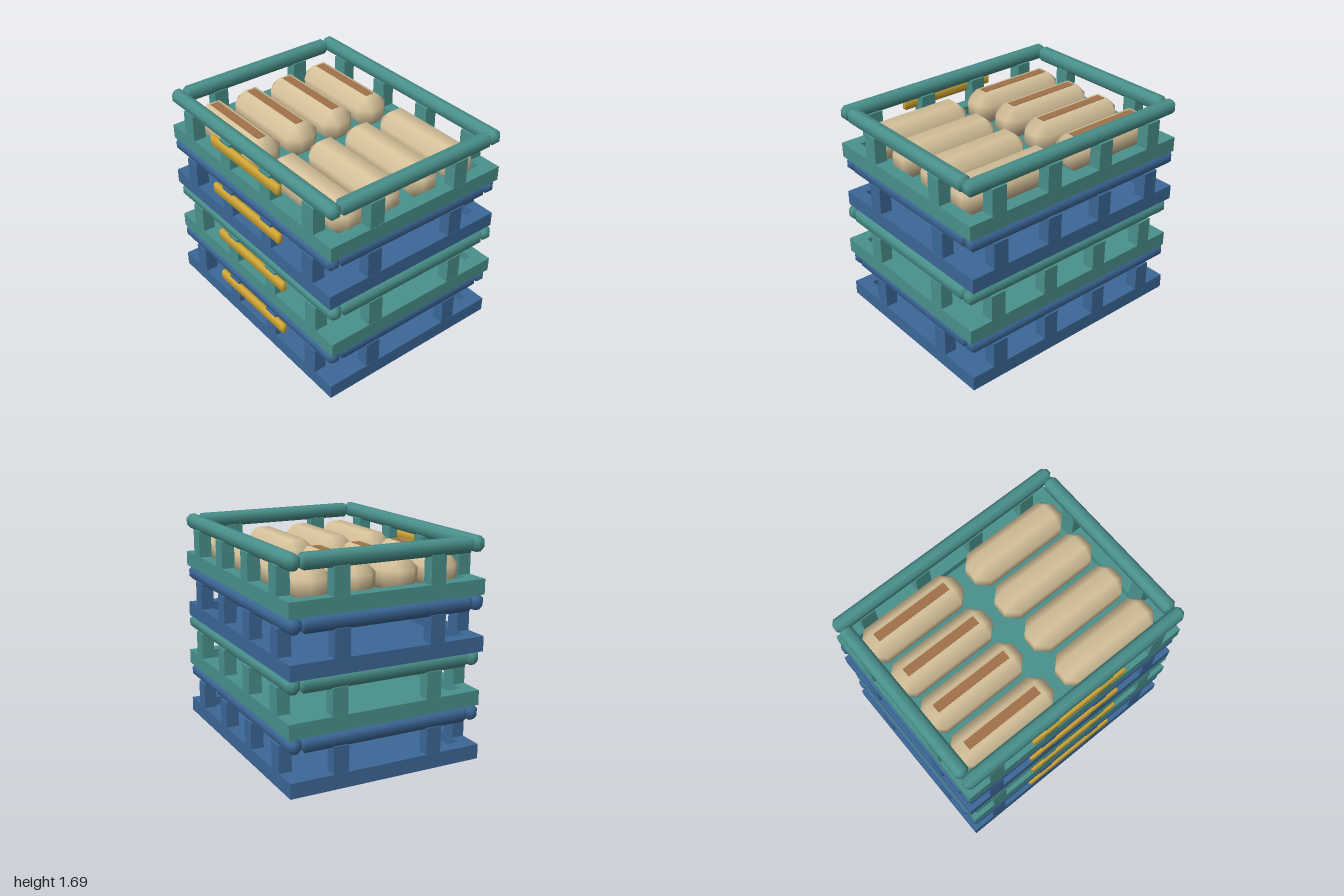
import * as THREE from 'three';
import { ConvexGeometry } from 'three/addons/geometries/ConvexGeometry.js';

const W = 1.97, D = 1.55, WALL = 0.1, BASE = 0.115, PITCH = 0.4225, RIM = 0.1125;

const flat = (name, color) => {
  const m = new THREE.MeshStandardMaterial({ color });
  m.name = name;
  return m;
};

// Box with chamfered edges and soft normals that lean towards the chamfers
function chamferBox(w, h, d, c) {
  const half = [w / 2, h / 2, d / 2];
  const long = half.indexOf(Math.max(...half));
  const points = [];
  for (const sx of [-1, 1]) for (const sy of [-1, 1]) for (const sz of [-1, 1])
    for (let axis = 0; axis < 3; axis++) {
      const p = [sx, sy, sz].map((s, i) => s * (half[i] - (i === axis ? 0 : c)));
      points.push(new THREE.Vector3(...p));
    }
  const geo = new ConvexGeometry(points);
  const pos = geo.attributes.position, nor = geo.attributes.normal;
  for (let i = 0; i < pos.count; i++) {
    const p = [pos.getX(i), pos.getY(i), pos.getZ(i)];
    const onFace = p.map((v, k) => Math.abs(Math.abs(v) - half[k]) < 1e-4);
    const n = p.map((v, k) => Math.sign(v) * (onFace[k] ? 1 : k === long ? 0.05 : 0.41));
    const v = new THREE.Vector3(...n).normalize();
    nor.setXYZ(i, v.x, v.y, v.z);
  }
  return geo;
}

function add(parent, name, geo, mat, x, y, z) {
  const mesh = new THREE.Mesh(geo, mat);
  mesh.name = name;
  mesh.position.set(x, y, z);
  parent.add(mesh);
  return mesh;
}

// Rectangular frame of the crate's base
function baseFrameGeometry() {
  const rect = (path, w, d) => path.moveTo(-w / 2, -d / 2).lineTo(w / 2, -d / 2)
    .lineTo(w / 2, d / 2).lineTo(-w / 2, d / 2).closePath();
  const shape = rect(new THREE.Shape(), W, D);
  shape.holes.push(rect(new THREE.Path(), W - 2 * WALL, D - 2 * WALL));
  return new THREE.ExtrudeGeometry(shape, { depth: BASE, bevelEnabled: false }).rotateX(-Math.PI / 2);
}

export function createModel() {
  const blue = flat('blue plastic', 0x3c6898);
  const teal = flat('teal plastic', 0x4a918c);
  const gold = flat('yellow handle', 0xd0a636);
  const crust = flat('bread', 0xd6c29a);
  const brown = flat('brown score', 0xa0724a);

  const frame = baseFrameGeometry();
  const floor = new THREE.BoxGeometry(W - 2 * WALL, 0.035, D - 2 * WALL);
  const postH = PITCH - RIM - BASE + 0.01;
  const frontPost = new THREE.BoxGeometry(0.123, postH, WALL);
  const sidePost = new THREE.BoxGeometry(WALL - 0.005, postH, 0.12);
  const longRim = chamferBox(W, RIM, WALL, 0.03);
  const shortRim = chamferBox(WALL, RIM, D - 2 * WALL, 0.025);
  const handle = chamferBox(0.84, 0.085, 0.045, 0.012);
  const loaf = chamferBox(0.84, 0.26, 0.28, 0.083);
  const score = new THREE.BoxGeometry(0.63, 0.008, 0.07);

  function crate(mat) {
    const g = new THREE.Group();
    add(g, 'baseFrame', frame, mat, 0, 0, 0);
    add(g, 'floor', floor, mat, 0, 0.0275, 0);
    const postY = BASE + postH / 2;
    const rimY = PITCH - RIM / 2;
    for (const s of [-1, 1]) {
      const z = s * (D - WALL) / 2, x = s * (W - WALL) / 2;
      for (const px of [-0.735, -0.245, 0.245, 0.735]) add(g, 'post', frontPost, mat, px, postY, z);
      for (const pz of [-0.38, 0.38]) add(g, 'sidePost', sidePost, mat, x, postY, pz);
      add(g, 'longRim', longRim, mat, 0, rimY, z);
      add(g, 'sideRim', shortRim, mat, x, rimY, 0);
    }
    add(g, 'handle', handle, gold, 0, 0.257, 0.767);
    return g;
  }

  // Slightly misaligned stack of four crates
  const model = new THREE.Group();
  model.name = 'crateStack';
  const offsets = [-0.003, 0.012, -0.015, -0.003];
  const crates = offsets.map((x, i) => {
    const g = crate(i % 2 ? teal : blue);
    g.name = 'crate' + (i + 1);
    g.position.set(x, i * PITCH, -0.005);
    model.add(g);
    return g;
  });

  // Loaves in the top crate, one column scored along the top
  for (const z of [-0.51, -0.17, 0.17, 0.51]) {
    for (const x of [-0.475, 0.475]) add(crates[3], 'loaf', loaf, crust, x, 0.167, z);
    add(crates[3], 'loafScore', score, brown, -0.475, 0.297, z);
  }
  return model;
}
